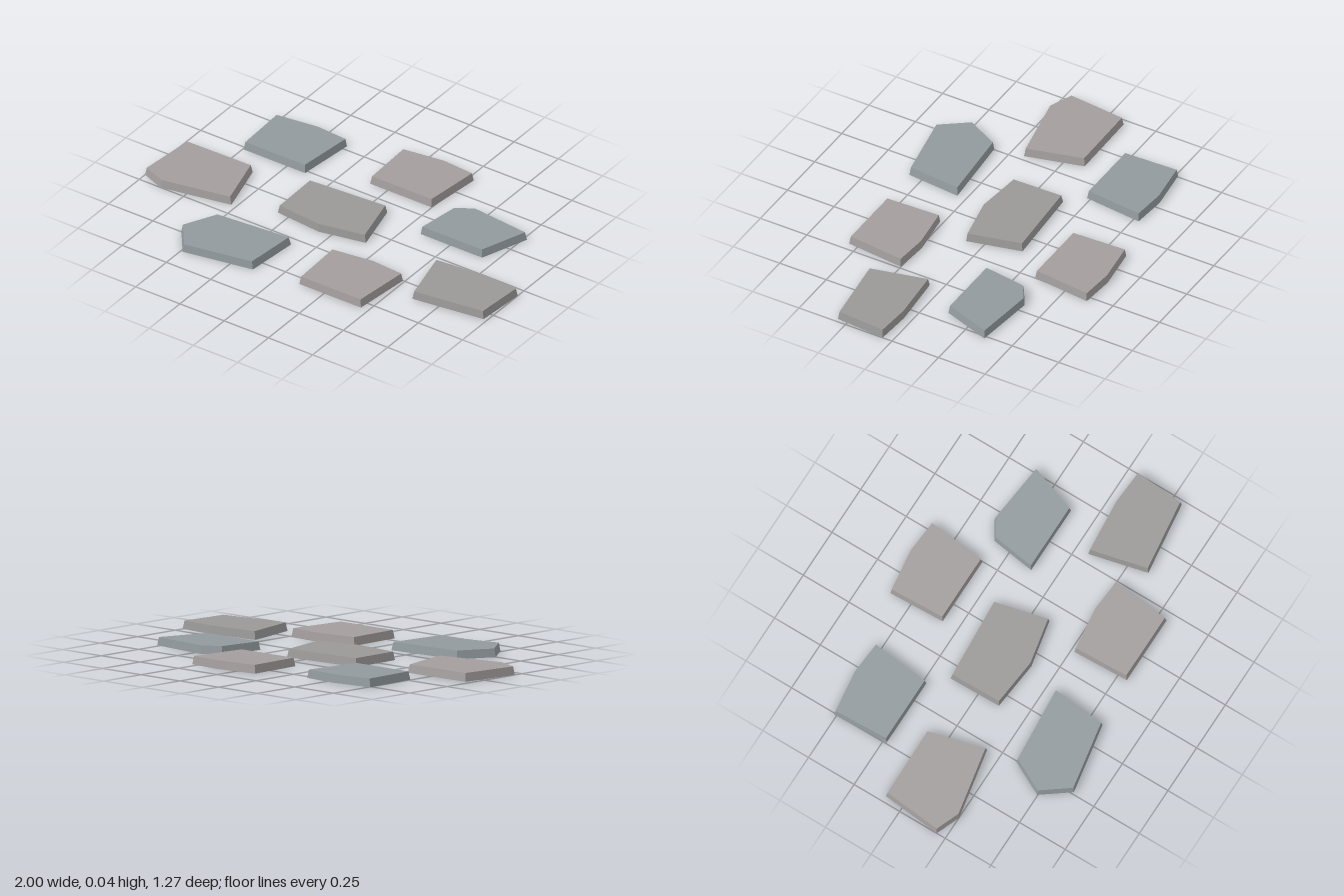
import * as THREE from 'three';

const HEIGHT = 0.04;
const TOP_SCALE = 0.965; // sides lean in slightly towards the top

const stone = (color) => new THREE.MeshStandardMaterial({ color, flatShading: true });

// Flat paving slab: outline as [x, z] corners, top face shrunk about its centre
function slab(corners, material) {
  const cx = corners.reduce((s, p) => s + p[0], 0) / corners.length;
  const cz = corners.reduce((s, p) => s + p[1], 0) / corners.length;
  const shape = new THREE.Shape(corners.map(([x, z]) => new THREE.Vector2(x - cx, cz - z)));
  const geo = new THREE.ExtrudeGeometry(shape, { depth: HEIGHT, bevelEnabled: false });
  geo.rotateX(-Math.PI / 2);
  const pos = geo.attributes.position;
  for (let i = 0; i < pos.count; i++) {
    if (pos.getY(i) > HEIGHT / 2) {
      pos.setX(i, pos.getX(i) * TOP_SCALE);
      pos.setZ(i, pos.getZ(i) * TOP_SCALE);
    }
  }
  geo.computeVertexNormals();
  const mesh = new THREE.Mesh(geo, material);
  mesh.position.set(cx, 0, cz);
  return mesh;
}

export function createModel() {
  const group = new THREE.Group();
  group.name = 'steppingStones';

  const warm = stone(0xa39d9d);
  const blue = stone(0x929a9e);
  const grey = stone(0x9a9998);

  // Outline shared by three of the stones, relative to its back left corner
  const common = (x, z) =>
    [[0, 0], [0.22, -0.029], [0.391, -0.016], [0.359, 0.28], [0.011, 0.28]]
      .map(([dx, dz]) => [x + dx, z + dz]);

  const stones = {
    backLeftStone: [blue, common(-0.757, -0.512)],
    backStone: [warm, common(-0.11, -0.611)],
    frontStone: [warm, common(0.099, 0.267)],
    backRightStone: [blue, [[0.366, -0.34], [0.452, -0.393], [0.767, -0.36], [0.682, -0.118], [0.334, -0.118]]],
    sideLeftStone: [warm, [[-0.97, -0.095], [-0.602, -0.1], [-0.527, 0.182], [-0.88, 0.251], [-1, 0.203]]],
    centreStone: [grey, [[-0.318, -0.15], [0.104, -0.178], [0.168, 0.088], [-0.067, 0.136], [-0.313, 0.112]]],
    sideRightStone: [grey, [[0.543, 0.064], [0.82, 0.04], [1, 0.051], [0.981, 0.302], [0.612, 0.35]]],
    frontLeftStone: [blue, [[-0.505, 0.329], [-0.11, 0.297], [-0.136, 0.57], [-0.489, 0.634], [-0.591, 0.497]]],
  };

  for (const [name, [material, corners]] of Object.entries(stones)) {
    const mesh = slab(corners, material);
    // Names follow the model's own sides: its left is +x
    mesh.name = name.replace(/Left|Right/, (s) => (s === 'Left' ? 'Right' : 'Left'));
    group.add(mesh);
  }
  return group;
}
